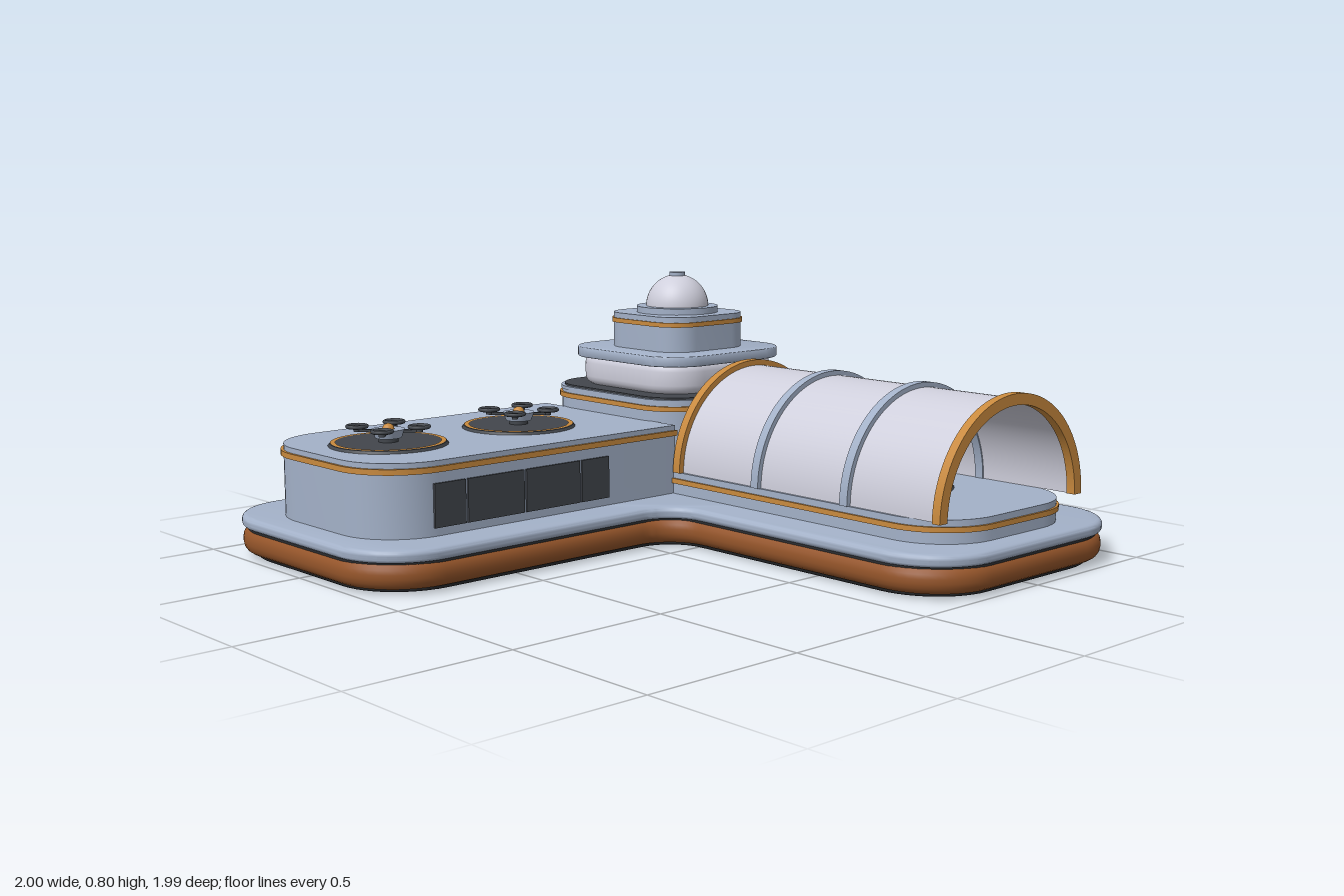
import * as THREE from 'three';
import { toCreasedNormals } from 'three/addons/utils/BufferGeometryUtils.js';

const mat = (name, color) => Object.assign(new THREE.MeshStandardMaterial({ color }), { name });

export function createModel() {
  const hull = mat('blue grey hull', 0xa3b1c8);
  const pale = mat('pale shell', 0xcfcfdc);
  const orange = mat('orange trim', 0xc98a3e);
  const rust = mat('rust band', 0x95552a);
  const dark = mat('dark panel', 0x42464c);
  const under = mat('dark underside', 0x2a2c2f);

  const root = new THREE.Group();
  root.name = 'lShapedStation';

  const add = (name, geo, material, x = 0, y = 0, z = 0, parent = root) => {
    const m = new THREE.Mesh(geo, material);
    m.name = name;
    m.position.set(x, y, z);
    parent.add(m);
    return m;
  };

  // Plan outline from [x, z, cornerRadius] points with square corners
  const outline = (pts) => {
    const s = new THREE.Shape();
    const n = pts.length;
    const v = (p) => new THREE.Vector2(p[0], -p[1]);
    pts.forEach((p, i) => {
      const c = v(p);
      const toPrev = v(pts[(i + n - 1) % n]).sub(c).normalize();
      const toNext = v(pts[(i + 1) % n]).sub(c).normalize();
      const at = (d, k) => c.clone().addScaledVector(d, p[2] * k);
      const a = at(toPrev, 1), b = at(toPrev, 0.448), d = at(toNext, 0.448), e = at(toNext, 1);
      if (i === 0) s.moveTo(a.x, a.y); else s.lineTo(a.x, a.y);
      if (p[2] > 0) s.bezierCurveTo(b.x, b.y, d.x, d.y, e.x, e.y);
    });
    s.closePath();
    return s;
  };
  // Rectangle in plan; radii run back left, back right, front right, front left
  const rect = (x0, x1, z0, z1, r) => {
    const q = Array.isArray(r) ? r : [r, r, r, r];
    return outline([[x0, z0, q[0]], [x1, z0, q[1]], [x1, z1, q[2]], [x0, z1, q[3]]]);
  };
  // Horizontal layer between two heights, bevelled inside its outline
  const slab = (name, shape, y0, y1, material, bevel = 0) => {
    const g = new THREE.ExtrudeGeometry(shape, {
      depth: y1 - y0 - 2 * bevel, curveSegments: 12, bevelEnabled: bevel > 0,
      bevelThickness: bevel, bevelSize: bevel, bevelOffset: -bevel, bevelSegments: 4,
    });
    g.rotateX(-Math.PI / 2);
    return add(name, toCreasedNormals(g, 0.6), material, 0, y0 + bevel, 0);
  };

  // Base
  const basePlan = (d) => outline([
    [-1 + d, -0.98 + d, 0.22], [0.98 - d, -0.98 + d, 0.22], [0.98 - d, 0.99 - d, 0.22],
    [0.08 + d, 0.99 - d, 0.22], [0.08 + d, -0.08 - d, 0.12], [-1 + d, -0.08 - d, 0.22],
  ]);
  slab('baseUnderside', basePlan(0.03), 0, 0.04, under, 0.015);
  slab('baseBand', basePlan(0.002), 0.012, 0.095, rust, 0.035);
  slab('baseSeam', basePlan(0.012), 0.085, 0.1, under);
  slab('baseTop', basePlan(0), 0.092, 0.13, hull, 0.016);

  // Low wing with trim and window rows
  slab('wing', rect(-0.912, 0.21, -0.858, -0.205, [0.2, 0, 0, 0.2]), 0.13, 0.35, hull);
  slab('wingTrim', rect(-0.92, 0.213, -0.866, -0.197, [0.206, 0, 0, 0.206]), 0.317, 0.334, orange);
  const bars = [-0.735, -0.617, -0.402, -0.187, -0.07];
  for (const z of [-0.203, -0.86]) {
    for (let i = 0; i < 4; i++) {
      const w = bars[i + 1] - bars[i] - 0.008;
      add('window', new THREE.BoxGeometry(w, 0.13, 0.009), dark, (bars[i] + bars[i + 1]) / 2, 0.22, z);
    }
  }

  // Corner tower, stacked tiers
  const cx = 0.525, cz = -0.532;
  const sq = (h, r) => rect(cx - h, cx + h, cz - h, cz + h, r);
  slab('towerBody', sq(0.323, 0.15), 0.13, 0.415, hull);
  slab('towerTrim', sq(0.33, 0.155), 0.384, 0.4, orange);
  slab('towerRim', sq(0.326, 0.152), 0.41, 0.421, hull);
  slab('towerCollar', sq(0.315, 0.145), 0.415, 0.427, dark);
  slab('towerDrum', sq(0.263, 0.14), 0.425, 0.53, pale, 0.03);
  slab('towerEave', sq(0.281, 0.14), 0.52, 0.554, hull, 0.004);
  slab('towerUpper', sq(0.182, 0.1), 0.55, 0.67, hull);
  slab('towerUpperTrim', sq(0.187, 0.103), 0.637, 0.652, orange);
  add('domeBase', new THREE.CylinderGeometry(0.138, 0.138, 0.022, 40), hull, cx, 0.68, cz);
  add('dome', new THREE.SphereGeometry(0.106, 40, 16, 0, Math.PI * 2, 0, Math.PI / 2), pale, cx, 0.69, cz);
  add('domeCap', new THREE.CylinderGeometry(0.027, 0.027, 0.014, 24), hull, cx, 0.797, cz);

  // Vaulted hall on its platform
  slab('hallPlatform', rect(0.203, 0.847, -0.21, 0.907, [0, 0, 0.2, 0.2]), 0.13, 0.2, hull);
  slab('hallTrim', rect(0.196, 0.854, -0.21, 0.914, [0, 0, 0.206, 0.206]), 0.164, 0.18, orange);
  const arch = (name, rOut, rIn, z0, z1, material) => {
    const s = new THREE.Shape();
    s.absarc(0, 0, rOut, 0, Math.PI, false);
    s.absarc(0, 0, rIn, Math.PI, 0, true);
    const g = new THREE.ExtrudeGeometry(s, { depth: z1 - z0, bevelEnabled: false, curveSegments: 32 });
    add(name, toCreasedNormals(g, 0.6), material, 0.53, 0.2, z0);
  };
  arch('vault', 0.318, 0.31, -0.195, 0.868, pale);
  arch('frontArch', 0.336, 0.302, 0.857, 0.885, orange);
  arch('rearArch', 0.336, 0.302, -0.197, -0.167, orange);
  for (const z of [0.148, 0.51]) arch('vaultRib', 0.333, 0.306, z, z + 0.03, hull);

  // Round pad: dark disc with an orange rim
  const pad = (x, y, z, r) => {
    add('padDisc', new THREE.CylinderGeometry(r - 0.006, r, 0.008, 40), dark, x, y + 0.004, z);
    const ring = add('padRing', new THREE.RingGeometry(r - 0.022, r - 0.007, 40), orange, x, y + 0.0095, z);
    ring.rotation.x = -Math.PI / 2;
  };

  // Pedestal with a beaded post in the hall
  const pz = 0.4;
  pad(cx, 0.2, pz, 0.215);
  add('pedestal', new THREE.CylinderGeometry(0.115, 0.115, 0.016, 32), hull, cx, 0.23, pz);
  add('pedestalFoot', new THREE.CylinderGeometry(0.08, 0.09, 0.018, 32), hull, cx, 0.215, pz);
  add('post', new THREE.CylinderGeometry(0.014, 0.02, 0.18, 16), pale, cx, 0.325, pz);
  add('postJoint', new THREE.SphereGeometry(0.026, 16, 12), dark, cx, 0.318, pz);
  for (const [y, r] of [[0.27, 0.024], [0.365, 0.026], [0.415, 0.022]]) {
    add('postBead', new THREE.SphereGeometry(r, 16, 12), pale, cx, y, pz);
  }

  // Landing pads, each with a four-rotor craft
  for (const x of [-0.66, -0.165]) {
    pad(x, 0.35, cz, 0.18);
    const craft = new THREE.Group();
    craft.name = 'rotorCraft';
    craft.position.set(x, 0.36, cz);
    root.add(craft);
    add('craftBody', new THREE.CylinderGeometry(0.05, 0.04, 0.026, 24), hull, 0, 0.023, 0, craft);
    add('craftFoot', new THREE.CylinderGeometry(0.03, 0.03, 0.014, 20), dark, 0, 0.005, 0, craft);
    add('craftCap', new THREE.SphereGeometry(0.019, 16, 10), orange, 0, 0.034, 0, craft);
    for (let i = 0; i < 4; i++) {
      const a = Math.PI / 4 + i * Math.PI / 2;
      const c = Math.cos(a), s = Math.sin(a);
      const arm = add('craftArm', new THREE.BoxGeometry(0.06, 0.008, 0.012), dark, c * 0.066, 0.03, s * 0.066, craft);
      arm.rotation.y = -a;
      add('rotorHub', new THREE.CylinderGeometry(0.01, 0.01, 0.018, 12), dark, c * 0.094, 0.036, s * 0.094, craft);
      const rotor = add('rotorRing', new THREE.TorusGeometry(0.029, 0.006, 8, 24), dark, c * 0.094, 0.043, s * 0.094, craft);
      rotor.rotation.x = Math.PI / 2;
    }
  }

  // Round side bosses with a plain star ornament
  const star = new THREE.Shape();
  for (let i = 0; i < 10; i++) {
    const r = i % 2 ? 0.013 : 0.031, a = Math.PI / 2 + i * Math.PI / 5;
    star[i ? 'lineTo' : 'moveTo'](r * Math.cos(a), r * Math.sin(a));
  }
  star.closePath();
  for (const [x, z, turn] of [[0.978, 0.55, Math.PI / 2], [-0.55, -0.978, Math.PI]]) {
    const boss = new THREE.Group();
    boss.name = 'sideBoss';
    boss.position.set(x, 0.067, z);
    boss.rotation.y = turn;
    root.add(boss);
    const disc = add('bossDisc', new THREE.CylinderGeometry(0.042, 0.042, 0.02, 28), dark, 0, 0, 0.002, boss);
    disc.rotation.x = Math.PI / 2;
    add('bossRim', new THREE.TorusGeometry(0.042, 0.005, 8, 28), hull, 0, 0, 0.012, boss);
    add('starOrnament', new THREE.ExtrudeGeometry(star, { depth: 0.005, bevelEnabled: false }), pale, 0, 0, 0.012, boss);
  }
  return root;
}
